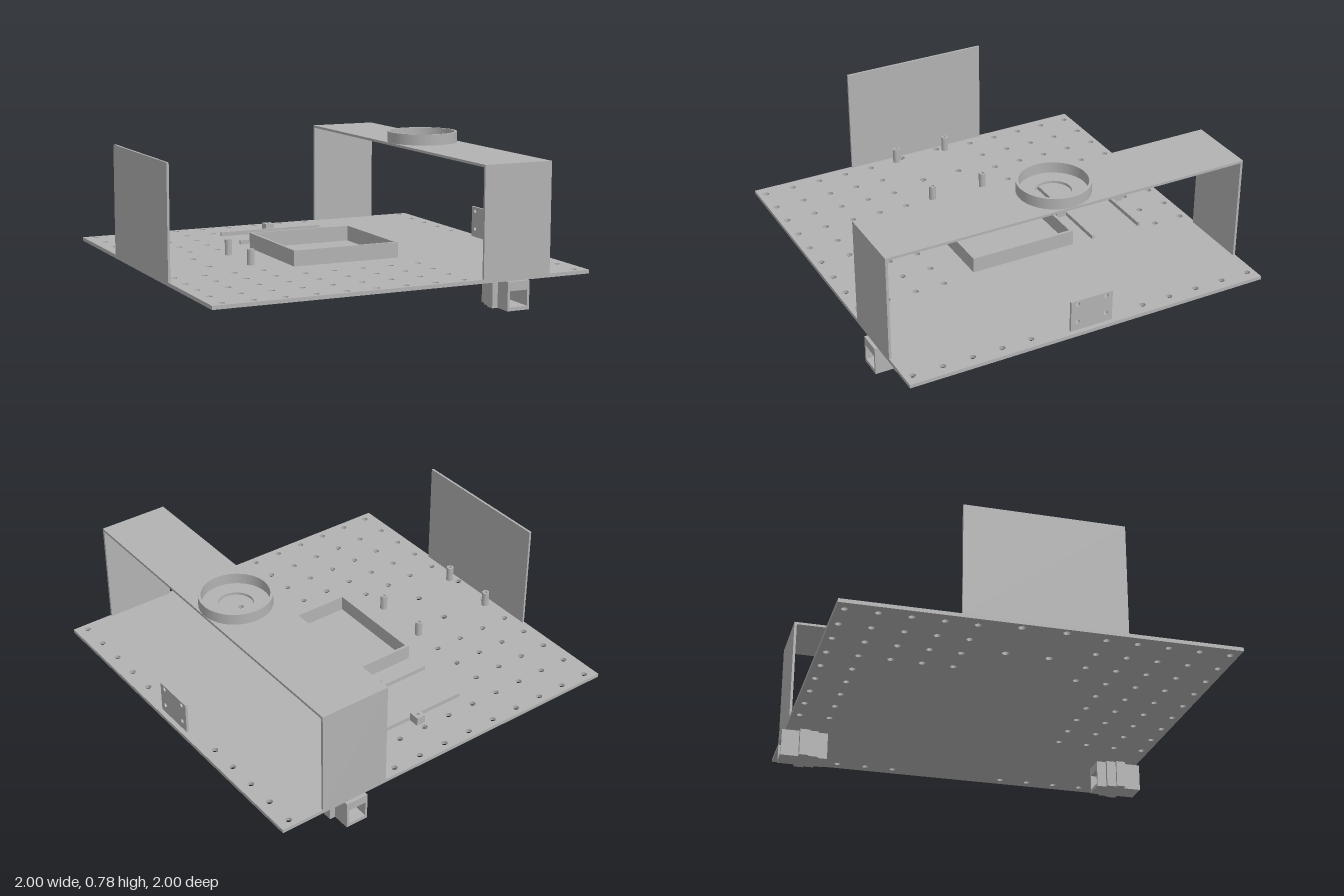
import * as THREE from 'three';

const grey = new THREE.MeshStandardMaterial({ color: 0xb2b2b2 });
grey.name = 'plain grey';

export function createModel() {
  const root = new THREE.Group();
  root.name = 'perforatedBaseWithBridge';

  const add = (name, geometry, parent = root) => {
    const mesh = new THREE.Mesh(geometry, grey);
    mesh.name = name;
    parent.add(mesh);
    return mesh;
  };
  const group = (name) => {
    const g = new THREE.Group();
    g.name = name;
    root.add(g);
    return g;
  };
  // Box given by its lower and upper limits on each axis
  const box = (name, x0, x1, y0, y1, z0, z1, parent) => {
    const geometry = new THREE.BoxGeometry(x1 - x0, y1 - y0, z1 - z0);
    geometry.translate((x0 + x1) / 2, (y0 + y1) / 2, (z0 + z1) / 2);
    return add(name, geometry, parent);
  };
  const rect = (Type, x0, x1, y0, y1) => new Type([
    new THREE.Vector2(x0, y0), new THREE.Vector2(x1, y0),
    new THREE.Vector2(x1, y1), new THREE.Vector2(x0, y1),
  ]);
  const circle = (Type, x, y, r) => {
    const path = new Type();
    path.absarc(x, y, r, 0, Math.PI * 2, false);
    return path;
  };
  const extrude = (shape, holes, depth, curveSegments = 10) => {
    shape.holes.push(...holes);
    return new THREE.ExtrudeGeometry(shape, { depth, bevelEnabled: false, curveSegments });
  };
  // Horizontal slab: outline drawn in x and -z, raised from y0 to y1
  const slab = (name, shape, holes, y0, y1, parent, segments) =>
    add(name, extrude(shape, holes, y1 - y0, segments).rotateX(-Math.PI / 2).translate(0, y0, 0), parent);

  const BOTTOM = 0.145, TOP = 0.164, PITCH = 0.15625;

  // Base plate with its grid of holes
  const holes = [];
  for (let row = -6; row <= 6; row++) {
    if (Math.abs(row) < 2) continue;
    const fullRow = row <= -3 || row >= 5;
    for (let col = -6; col <= 6; col++) {
      if (col <= -3 || col === 6 || (fullRow && col <= 2)) {
        holes.push(circle(THREE.Path, col * PITCH, row * PITCH, 0.016));
      }
    }
  }
  for (const x of [-0.963, -0.68]) {
    for (const z of [-0.109, 0.109]) holes.push(circle(THREE.Path, x, z, 0.018));
  }
  slab('basePlate', rect(THREE.Shape, -1, 1, -0.98, 0.98), holes, BOTTOM, TOP);

  // Hollow standoffs
  const standoffs = group('standoffs');
  for (const x of [-6 * PITCH, -3 * PITCH]) {
    for (const z of [-0.152, 0.152]) {
      slab('standoff', circle(THREE.Shape, x, z, 0.019),
        [circle(THREE.Path, x, z, 0.009)], TOP, 0.245, standoffs, 12);
    }
  }

  // Open square frame in the middle
  slab('squareFrame', rect(THREE.Shape, -0.292, 0.292, -0.29, 0.29),
    [rect(THREE.Path, -0.277, 0.277, -0.275, 0.275)], TOP, 0.245);

  // Two low rails, each with a drilled block on its outer side
  const rails = group('rails');
  for (const [rail, z0, z1] of [[-0.691, -0.755, -0.698], [-0.41, -0.403, -0.347]]) {
    box('rail', -0.298, 0.298, TOP, 0.186, rail - 0.007, rail + 0.007, rails);
    slab('railBlock', rect(THREE.Shape, -0.025, 0.025, -z1, -z0),
      [circle(THREE.Path, 0, -(z0 + z1) / 2, 0.008)], TOP, 0.21, rails);
  }

  // Tall panel on the right edge
  box('sidePanel', -1, -0.988, TOP, 0.74, -0.403, 0.403);

  // Small upright plate with four holes
  const smallHoles = [];
  for (const z of [-0.079, 0.079]) {
    for (const y of [0.211, 0.31]) smallHoles.push(circle(THREE.Path, z, y, 0.012));
  }
  add('smallPlate', extrude(rect(THREE.Shape, -0.115, 0.115, TOP, 0.33), smallHoles, 0.013)
    .rotateY(Math.PI / 2).translate(0.962, 0, 0));

  // Bridge: two legs, a top with a round opening, and a raised ring
  const bridge = group('bridge');
  const cx = 0.584;
  slab('bridgeTop', rect(THREE.Shape, 0.398, 0.77, -0.98, 0.98),
    [circle(THREE.Path, cx, 0, 0.089)], 0.707, 0.72, bridge, 32);
  for (const side of [-1, 1]) {
    const z = side * 0.9735;
    box('bridgeLeg', 0.398, 0.77, TOP, 0.707, z - 0.0065, z + 0.0065, bridge);
  }
  slab('bridgeRing', circle(THREE.Shape, cx, 0, 0.185),
    [circle(THREE.Path, cx, 0, 0.171)], 0.72, 0.777, bridge, 40);

  // Feet: square tubes with wider collars, mirrored front and back
  for (const side of [1, -1]) {
    const foot = group(side > 0 ? 'frontFoot' : 'backFoot');
    const sections = [
      ['footTube', 0.905, 0.998, 0.061],
      ['footCollar', 0.855, 0.905, 0.091],
      ['footStep', 0.803, 0.855, 0.078],
      ['footInnerTube', 0.752, 0.803, 0.061],
    ];
    for (const [name, z0, z1, half] of sections) {
      const geometry = extrude(rect(THREE.Shape, -half, half, 0, BOTTOM),
        [rect(THREE.Path, -0.049, 0.049, 0.019, 0.099)], z1 - z0);
      add(name, geometry.translate(0.583, 0, side > 0 ? z0 : -z1), foot);
    }
  }

  return root;
}
